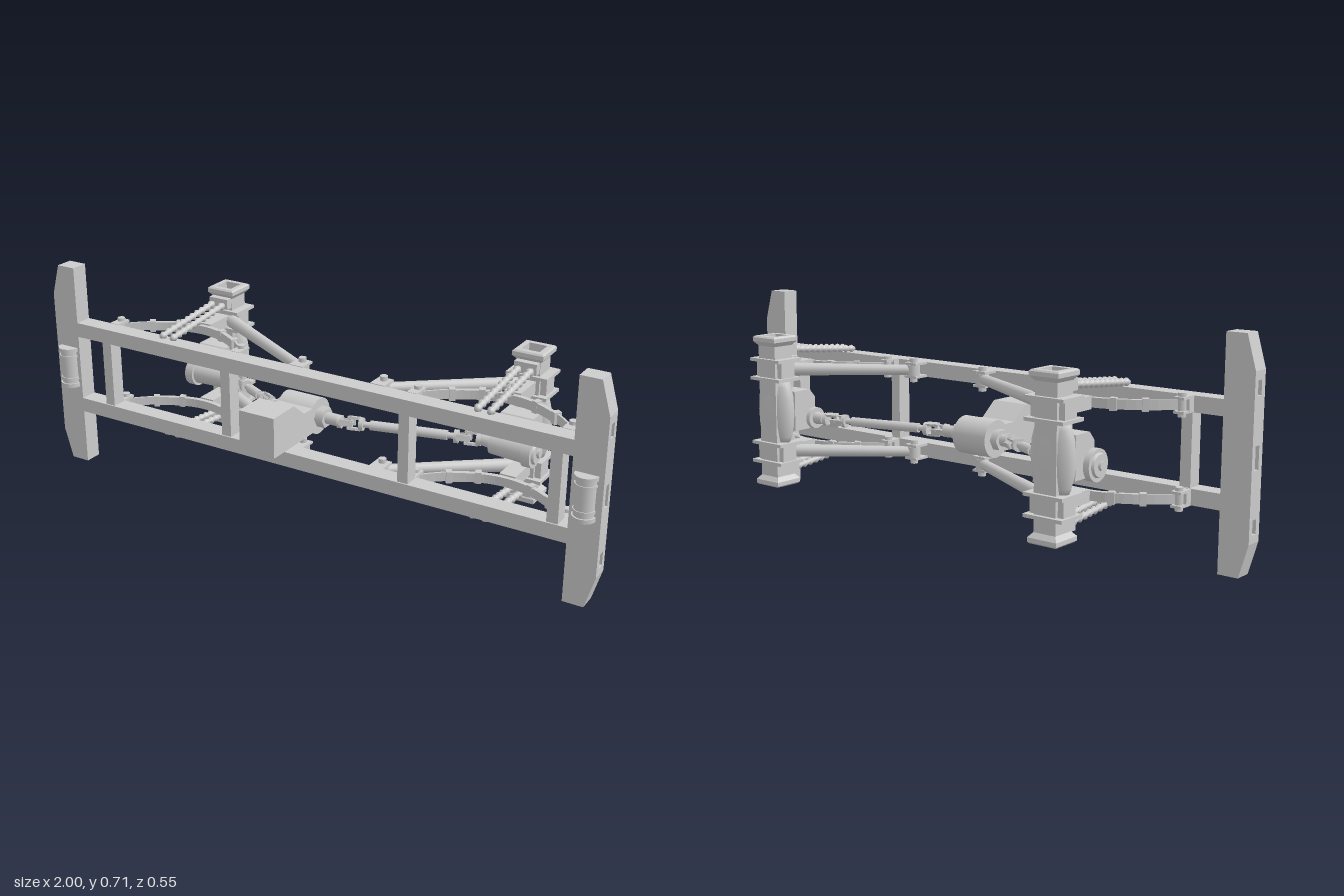
import * as THREE from 'three';

const MID = 0.356; // height of the mirror plane between the two rails
const V = (x, y, z) => new THREE.Vector3(x, y, z);
const smooth = new THREE.MeshStandardMaterial({ color: 0xcccccc });
const flat = new THREE.MeshStandardMaterial({ color: 0xcccccc, flatShading: true, side: THREE.DoubleSide });

function add(parent, name, geo, pos = [0, 0, 0], mat = smooth) {
  const m = new THREE.Mesh(geo, mat);
  m.name = name;
  m.position.set(...pos);
  parent.add(m);
  return m;
}
const box = (p, name, w, h, d, pos) => add(p, name, new THREE.BoxGeometry(w, h, d), pos);
const upright = (p, name, r, h, pos, n = 16) => add(p, name, new THREE.CylinderGeometry(r, r, h, n), pos);

// Tapered bar between two points
function rod(p, name, a, b, ra, rb = ra, n = 14) {
  const d = b.clone().sub(a);
  const m = add(p, name, new THREE.CylinderGeometry(rb, ra, d.length(), n));
  m.position.copy(a).addScaledVector(d, 0.5);
  m.quaternion.setFromUnitVectors(V(0, 1, 0), d.normalize());
  return m;
}
function extrude(points, depth, holes = []) {
  const path = pts => pts.map(q => new THREE.Vector2(...q));
  const s = new THREE.Shape(path(points));
  holes.forEach(h => s.holes.push(new THREE.Path(path(h))));
  return new THREE.ExtrudeGeometry(s, { depth, bevelEnabled: false });
}

// Bumper with a slotted outer plate and a roller
function bumper(root, s) {
  const g = new THREE.Group();
  g.name = s > 0 ? 'leftBumper' : 'rightBumper';
  const outline = [[0.903, 0], [0.97, 0], [1, 0.105], [0.978, 0.105], [0.978, 0.61], [1, 0.61], [0.97, 0.715], [0.903, 0.715]];
  add(g, 'bumperBody', extrude(outline.map(([x, y]) => [s * x, y]), 0.06), [0, 0, 0.1], flat);
  const slots = [[0.13, 0.175], [0.32, 0.392], [0.537, 0.582]]
    .map(([a, b]) => [[-0.14, a], [-0.118, a], [-0.118, b], [-0.14, b]]);
  const plate = extrude([[-0.16, 0.105], [-0.1, 0.105], [-0.1, 0.61], [-0.16, 0.61]], 0.022, slots);
  plate.rotateY(Math.PI / 2);
  add(g, 'slottedPlate', plate, [s > 0 ? 0.978 : -1, 0, 0], flat);
  const x = s * 0.948;
  upright(g, 'roller', 0.031, 0.14, [x, MID, 0.16], 24);
  for (const k of [-1, 1]) {
    upright(g, 'rollerCap', 0.036, 0.014, [x, MID + k * 0.064, 0.16], 24);
    upright(g, 'rollerRing', 0.034, 0.008, [x, MID + k * 0.04, 0.16], 24);
  }
  root.add(g);
}

// Universal joint: two forks at right angles around a cross
function joint(p, at, dir) {
  const g = new THREE.Group();
  g.name = 'universalJoint';
  for (const k of [-1, 1]) {
    upright(g, 'yokeBase', 0.022, 0.014, [0, k * 0.036, 0]);
    for (const j of [-1, 1]) {
      const off = j * 0.018;
      box(g, 'yokeFork', k > 0 ? 0.008 : 0.02, 0.045, k > 0 ? 0.02 : 0.008, k > 0 ? [off, 0.012, 0] : [0, -0.012, off]);
    }
  }
  rod(g, 'crossPin', V(-0.023, 0, 0), V(0.023, 0, 0), 0.007);
  rod(g, 'crossPin', V(0, 0, -0.023), V(0, 0, 0.023), 0.007);
  g.position.copy(at);
  g.quaternion.setFromUnitVectors(V(0, 1, 0), dir);
  p.add(g);
}
function driveshaft(root, a, b, name) {
  const g = new THREE.Group();
  g.name = name;
  const d = b.clone().sub(a).normalize();
  const at = (q, t) => q.clone().addScaledVector(d, t);
  joint(g, a, d);
  joint(g, b, d);
  rod(g, 'shaftTube', at(a, 0.065), at(b, -0.065), 0.016);
  rod(g, 'shaftSpline', at(a, 0.03), at(b, -0.03), 0.01);
  root.add(g);
}

// Arched leaf spring with clips and end brackets
function leafSpring(g, y) {
  [[0.25, 0], [0.17, 0.008]].forEach(([half, drop]) => {
    const top = [], low = [];
    for (let i = 0; i <= 20; i++) {
      const x = -half + (2 * half * i) / 20;
      const z = -0.075 + 0.135 * (x / 0.25) ** 2 + drop;
      top.push([x, -z]);
      low.unshift([x, -z - 0.009]);
    }
    const geo = extrude(top.concat(low), 0.03);
    geo.rotateX(-Math.PI / 2);
    add(g, 'springLeaf', geo, [0, y - 0.015, 0], flat);
  });
  for (const k of [-1, 1]) {
    for (const x of [0.09, 0.17]) {
      const clip = box(g, 'springClip', 0.02, 0.038, 0.024, [k * x, y, -0.07 + 0.135 * (x / 0.25) ** 2]);
      clip.rotation.y = -k * Math.atan(4.32 * x);
    }
    box(g, 'springBracket', 0.035, 0.05, 0.028, [k * 0.25, y, 0.088]);
    for (const j of [-1, 1]) box(g, 'bracketCheek', 0.034, 0.008, 0.045, [k * 0.25, y + j * 0.021, 0.064]);
    upright(g, 'springBolt', 0.013, 0.072, [k * 0.25, y, 0.062], 8);
  }
  box(g, 'springSeat', 0.055, 0.04, 0.115, [0, y, -0.13]);
}

// Ribbed shock absorber
function shock(g, x, k) {
  const pts = [];
  const n = 11, len = 0.295;
  for (let i = 0; i < n; i++) {
    const y = (i * len) / n;
    pts.push([0.008, y], [0.01, y + 0.008], [0.0135, y + 0.014], [0.01, y + 0.02]);
  }
  const geo = new THREE.LatheGeometry([[0, 0], ...pts, [0.008, len], [0, len]].map(q => new THREE.Vector2(...q)), 12);
  const m = add(g, 'shockAbsorber', geo, [x, MID + k * 0.174, 0.135]);
  m.quaternion.setFromUnitVectors(V(0, 1, 0), V(0, k * 0.03, -0.295).normalize());
}

// Axle with differential, links, springs and shocks; s points inward, reach is the link's frame end
function axle(root, cx, s, reach, name) {
  const g = new THREE.Group();
  g.name = name;
  g.position.x = cx;
  const z = -0.223;
  // Hollow square tube flared at both ends
  const half = [[0.03, -0.255], [0.047, -0.255], [0.052, -0.25], [0.052, -0.237], [0.039, -0.222]];
  const prof = [...half, ...half.slice().reverse().map(([r, y]) => [r, -y]), half[0]];
  const tube = new THREE.LatheGeometry(prof.map(([r, y]) => new THREE.Vector2(r * Math.SQRT2, y)), 4);
  tube.rotateY(Math.PI / 4);
  add(g, 'axleTube', tube, [0, MID, z], flat);
  // Differential barrel
  const barrel = [[0, -0.106], [0.054, -0.106], [0.062, -0.085], [0.071, -0.05], [0.074, 0], [0.071, 0.05], [0.062, 0.085], [0.054, 0.106], [0, 0.106]];
  const diff = add(g, 'differential', new THREE.LatheGeometry(barrel.map(q => new THREE.Vector2(...q)), 32), [0, MID, z]);
  diff.scale.z = 0.57;
  const nose = extrude([[0.19, 0.42], [0.12, 0.42], [0.095, 0.392], [0.095, 0.31], [0.12, 0.285], [0.19, 0.285]], 0.11);
  nose.rotateY(Math.PI / 2);
  add(g, 'gearHousing', nose, [-0.055, 0, 0], flat);
  // Pinion with stepped outer cap and inner flange
  const pin = x => V(s * x, 0.32, -0.102);
  rod(g, 'pinionHousing', pin(-0.065), pin(0.07), 0.042, 0.036, 28);
  rod(g, 'pinionCap', pin(-0.075), pin(-0.045), 0.05, 0.05, 28);
  rod(g, 'pinionHub', pin(-0.083), pin(-0.07), 0.034, 0.04, 24);
  rod(g, 'pinionNut', pin(-0.092), pin(-0.08), 0.015, 0.015, 6);
  rod(g, 'pinionShaft', pin(0.06), pin(0.105), 0.022, 0.018);
  for (const k of [-1, 1]) {
    const y = MID + k * 0.14;
    for (const t of [0.11, 0.174]) box(g, 'axleClamp', 0.138, 0.011, 0.103, [0, MID + k * t, z]);
    for (const j of [-1, 1]) box(g, 'clampBar', 0.02, 0.06, 0.06, [j * 0.05, MID + k * 0.142, z]);
    leafSpring(g, y);
    // Control link and its frame bracket
    const link = rod(g, 'controlLink', V(s * 0.03, y, -0.19), V(s * reach, y, 0.06), 0.022, 0.017, 16);
    link.name = 'controlLink';
    for (const j of [-1, 1]) box(g, 'linkBracket', 0.05, 0.008, 0.06, [s * reach, y + j * 0.022, 0.072]);
    upright(g, 'linkEye', 0.022, 0.036, [s * reach, y, 0.06]);
    upright(g, 'linkBolt', 0.013, 0.08, [s * reach, y, 0.06], 8);
    for (const x of [-0.021, 0.021]) shock(g, x, k);
    box(g, 'shockMount', 0.075, 0.036, 0.03, [0, MID + k * 0.207, -0.174]);
  }
  root.add(g);
}

export function createModel() {
  const root = new THREE.Group();
  root.name = 'chassis';
  // Ladder frame
  for (const k of [-1, 1]) box(root, 'frameRail', 1.82, 0.05, 0.06, [0, MID + k * 0.139, 0.13]);
  for (const x of [-0.783, -0.293, 0.363, 0.853]) box(root, 'crossMember', 0.036, 0.24, 0.05, [x, MID, 0.13]);
  for (const s of [-1, 1]) bumper(root, s);

  // Gearbox: wedge-topped housing with a rounded transfer case
  const gear = extrude([[-0.275, 0.275], [0, 0.275], [0, 0.362], [-0.1, 0.362], [-0.16, 0.41], [-0.275, 0.41]], 0.13);
  gear.rotateY(Math.PI / 2);
  add(root, 'gearbox', gear, [-0.155, 0, 0], flat);
  const out = x => V(x, 0.32, 0.007);
  rod(root, 'transferCase', out(-0.155), out(-0.025), 0.061, 0.061, 32);
  rod(root, 'outputFlange', out(-0.18), out(0.005), 0.035, 0.035, 6);
  rod(root, 'outputShaft', out(-0.205), out(0.055), 0.02);

  axle(root, -0.54, 1, 0.485, 'rightAxle');
  axle(root, 0.61, -1, 0.37, 'leftAxle');
  driveshaft(root, V(-0.23, 0.32, -0.003), V(-0.405, 0.32, -0.092), 'rightDriveshaft');
  driveshaft(root, V(0.09, 0.32, 0.002), V(0.46, 0.32, -0.092), 'leftDriveshaft');
  return root;
}
